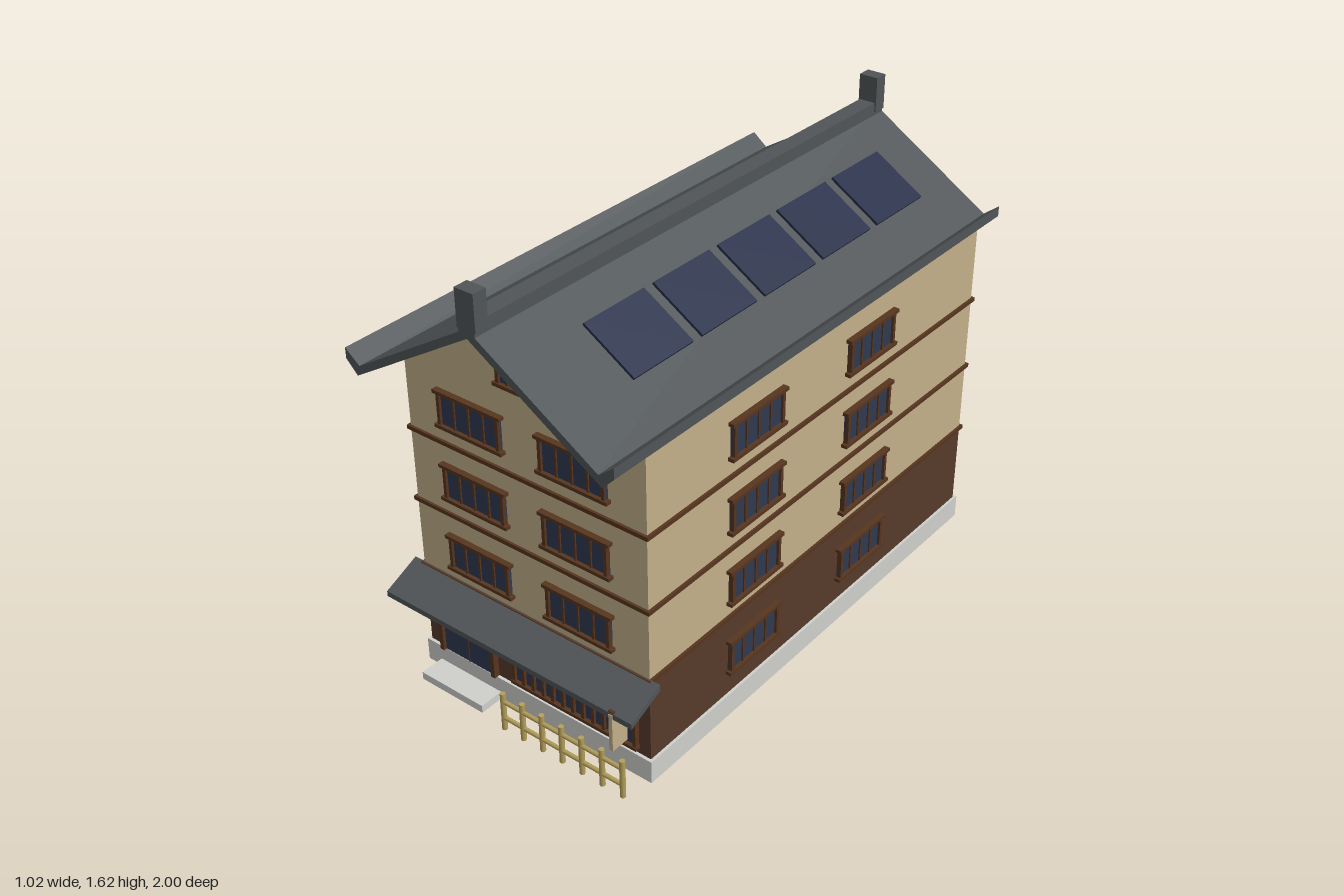
import * as THREE from 'three';

const mat = (name, color, extra = {}) => {
  const m = new THREE.MeshStandardMaterial({ color, ...extra });
  m.name = name;
  return m;
};

export function createModel() {
  const plaster = mat('plaster', 0xc2b08a);
  const timber = mat('brown timber wall', 0x563a2b);
  const trim = mat('dark wood trim', 0x56351f);
  const glass = mat('window glass', 0x2f3850);
  const slate = mat('slate roof', 0x505558);
  const stone = mat('pale stone', 0xcfcfcc);
  const red = mat('red cloth', 0xa0302a);
  const bamboo = mat('bamboo', 0xb5a05a);
  const solar = mat('solar panel', 0x262e48);
  const indigo = mat('indigo cloth', 0x2b3a58);

  const model = new THREE.Group();
  model.name = 'townhouse';

  const add = (parent, name, geometry, material, x = 0, y = 0, z = 0) => {
    const m = new THREE.Mesh(geometry, material);
    m.name = name;
    m.position.set(x, y, z);
    parent.add(m);
    return m;
  };
  const box = (parent, name, material, w, h, d, x, y, z) =>
    add(parent, name, new THREE.BoxGeometry(w, h, d), material, x, y, z);
  const group = (name, parent = model) => {
    const g = new THREE.Group();
    g.name = name;
    parent.add(g);
    return g;
  };
  // Extrude an x,y outline along z between two planes
  const prism = (name, points, z0, z1, material) => {
    const shape = new THREE.Shape(points.map(p => new THREE.Vector2(...p)));
    const geo = new THREE.ExtrudeGeometry(shape, { depth: z1 - z0, bevelEnabled: false });
    return add(model, name, geo, material, 0, 0, z0);
  };

  const X = 0.467, F = 0.818, B = -0.945;
  const midZ = (F + B) / 2, len = F - B;

  // Plinth and walls
  box(model, 'plinth', stone, 0.954, 0.084, len + 0.022, 0, 0.042, midZ);
  box(model, 'groundFloorWall', timber, 2 * X, 0.308, len, 0, 0.238, midZ);
  prism('upperWalls', [[-X, 0.392], [X, 0.392], [X, 1.184], [0, 1.472], [-X, 1.184]], B, F, plaster);
  for (const y of [0.392, 0.65, 0.914])
    box(model, 'floorBand', trim, 2 * X + 0.018, 0.014, len + 0.018, 0, y, midZ);

  // Framed window with four panes, facing +z before it is turned
  const makeWindow = (x, y, z, turn, w = 0.25, h = 0.12) => {
    const g = group('window');
    g.position.set(x, y, z);
    g.rotation.y = turn;
    box(g, 'windowGlass', glass, w, h, 0.008, 0, 0, 0.004);
    for (const s of [-1, 1]) {
      box(g, 'windowJamb', trim, 0.012, h, 0.017, s * (w / 2 - 0.006), 0, 0.0085);
      box(g, 'windowSill', trim, w + 0.022, 0.012, 0.021, 0, s * h / 2, 0.0105);
    }
    for (let i = -1; i <= 1; i++)
      box(g, 'windowMullion', trim, 0.007, h, 0.013, i * (w - 0.012) / 4, 0, 0.0065);
  };
  const floors = [0.235, 0.508, 0.774, 1.04];
  floors.forEach((y, i) => {
    for (const s of [-1, 1]) {
      if (i > 0) makeWindow(s * 0.202, y, F, 0);
      makeWindow(s * 0.202, y, B, Math.PI);
      for (const z of [0.31, -0.297]) makeWindow(s * X, y, z, s * Math.PI / 2);
    }
  });
  makeWindow(0, 1.27, F, 0, 0.145, 0.098);

  // Roof with upturned eaves
  const half = [[0, 1.499], [0.456, 1.217], [0.511, 1.26], [0.511, 1.224], [0.468, 1.18], [0, 1.468]];
  prism('roof', [...half.slice(0, 5).reverse(), ...half.slice(0, 5).slice(1).map(([x, y]) => [-x, y]), half[5]], -1, 1, slate);
  box(model, 'ridgeCap', slate, 0.06, 0.046, 2, 0, 1.502, 0);
  for (const s of [-1, 1])
    box(model, 'ridgeEndBlock', slate, 0.07, 0.122, 0.05, 0, 1.554, s * 0.975);

  // Solar panels on the left slope
  for (let i = -2; i <= 2; i++) {
    const p = box(model, 'solarPanel', solar, 0.214, 0.009, 0.264, 0.234, 1.372, -0.052 + i * 0.306);
    p.rotation.z = -Math.atan2(0.282, 0.456);
  }

  // Sloping canopy over the shop front
  const canopy = prism('canopy', [[0, 0.377], [0.133, 0.32], [0.133, 0.34], [0, 0.4]], 0, 1.015, slate);
  canopy.rotation.y = -Math.PI / 2;
  canopy.position.set(0.507, 0, F);
  canopy.scale.z = 1;

  // Entrance: door, frame, split curtain and step
  const door = group('entrance');
  box(door, 'doorLeaf', glass, 0.215, 0.205, 0.01, -0.284, 0.187, F + 0.005);
  for (const s of [-1, 1])
    box(door, 'doorPost', trim, 0.016, 0.222, 0.022, -0.284 + s * 0.114, 0.195, F + 0.011);
  box(door, 'doorLintel', trim, 0.244, 0.016, 0.022, -0.284, 0.3, F + 0.011);
  box(door, 'doorSeam', trim, 0.004, 0.205, 0.012, -0.284, 0.187, F + 0.006);
  box(door, 'curtainRod', trim, 0.206, 0.006, 0.006, -0.284, 0.289, F + 0.021);
  for (const s of [-1, 1])
    box(door, 'doorCurtain', indigo, 0.09, 0.098, 0.005, -0.284 + s * 0.047, 0.239, F + 0.021);
  box(model, 'entranceStep', stone, 0.268, 0.028, 0.09, -0.284, 0.014, 0.872);

  // Slatted shop window
  const shop = group('shopWindow');
  box(shop, 'shopGlass', glass, 0.5, 0.195, 0.008, 0.168, 0.208, F + 0.004);
  for (const y of [0.112, 0.307])
    box(shop, 'shopRail', trim, 0.514, 0.012, 0.022, 0.168, y, F + 0.011);
  for (let i = 0; i <= 12; i++)
    box(shop, 'shopSlat', trim, 0.012, 0.195, 0.018, -0.08 + i * 0.0413, 0.208, F + 0.009);

  // Red hanging cloths, each in three strips
  for (const x of [-0.12, 0.385])
    for (let i = -1; i <= 1; i++)
      box(model, 'redHanging', red, 0.0165, 0.066, 0.008, x + i * 0.0172, 0.289, F + 0.028 + (i ? 0 : 0.003));

  // Blank hanging signboard
  box(model, 'signboard', plaster, 0.014, 0.138, 0.068, 0.428, 0.266, 0.92);
  box(model, 'signBracket', trim, 0.022, 0.008, 0.13, 0.428, 0.341, 0.885);

  // Bamboo fence
  const fence = group('fence');
  const post = new THREE.CylinderGeometry(0.0095, 0.0095, 0.145, 8);
  const rail = new THREE.CylinderGeometry(0.0075, 0.0075, 0.495, 8);
  for (let i = 0; i < 7; i++)
    add(fence, 'fencePost', post, bamboo, -0.043 + i * 0.0812, 0.0725, 0.925);
  for (const y of [0.047, 0.112])
    add(fence, 'fenceRail', rail, bamboo, 0.2, y, 0.925).rotation.z = Math.PI / 2;

  return model;
}
